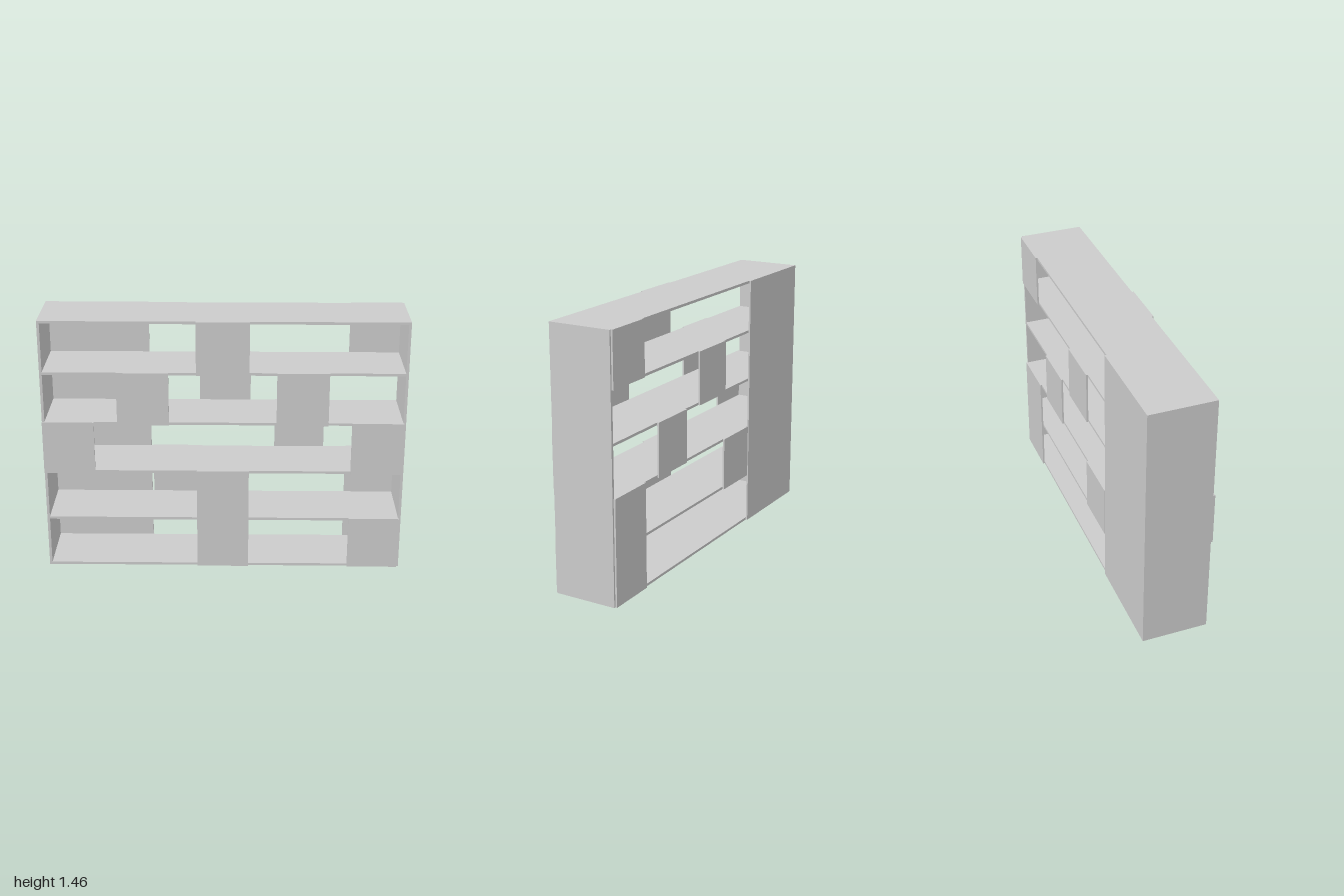
import * as THREE from 'three';

export function createModel() {
  const group = new THREE.Group();
  const material = new THREE.MeshStandardMaterial({ color: 0xcccccc, flatShading: true });

  const H = 1.46, D = 0.36, T = 0.0145, ROWS = 5;
  const PANEL = 0.01;
  const pitch = (H - T) / ROWS;

  // Box given by its limits on each axis
  function slab(name, x0, x1, y0, y1, z0, z1) {
    const mesh = new THREE.Mesh(new THREE.BoxGeometry(x1 - x0, y1 - y0, z1 - z0), material);
    mesh.position.set((x0 + x1) / 2, (y0 + y1) / 2, (z0 + z1) / 2);
    mesh.name = name;
    group.add(mesh);
  }

  // Side walls
  slab('rightWall', -1, -1 + T, 0, H, -D / 2, D / 2);
  slab('leftWall', 1 - T, 1, 0, H, -D / 2, D / 2);

  // Bottom, shelves and top between the walls
  for (let i = 0; i <= ROWS; i++) {
    const name = i === 0 ? 'bottomBoard' : i === ROWS ? 'topBoard' : 'shelf' + i;
    slab(name, -1 + T, 1 - T, i * pitch, i * pitch + T, -D / 2, D / 2);
  }

  // Thin panels: [x0, x1, first row, last row], covering the shelf edges of their rows
  const frontPanels = [
    [-0.15, 0.14, 4, 4],
    [-0.585, -0.3, 3, 3],
    [0.29, 0.575, 3, 3],
    [-1, -0.715, 2, 2],
    [0.705, 0.99, 2, 2],
    [-0.15, 0.14, 0, 1],
    [0.705, 0.99, 0, 0],
  ];
  const backPanels = [
    [-1, -0.425, 0, 4],
    [0.705, 0.99, 4, 4],
    [-0.14, 0.15, 3, 3],
    [0.29, 0.575, 2, 2],
    [-0.415, -0.13, 1, 1],
    [0.705, 0.99, 0, 1],
  ];
  const addPanels = (list, name, z0) =>
    list.forEach(([x0, x1, r0, r1], i) =>
      slab(name + (i + 1), x0, x1, r0 * pitch, (r1 + 1) * pitch + T, z0, z0 + PANEL));
  addPanels(frontPanels, 'frontPanel', D / 2);
  addPanels(backPanels, 'backPanel', -D / 2 - PANEL);

  return group;
}
